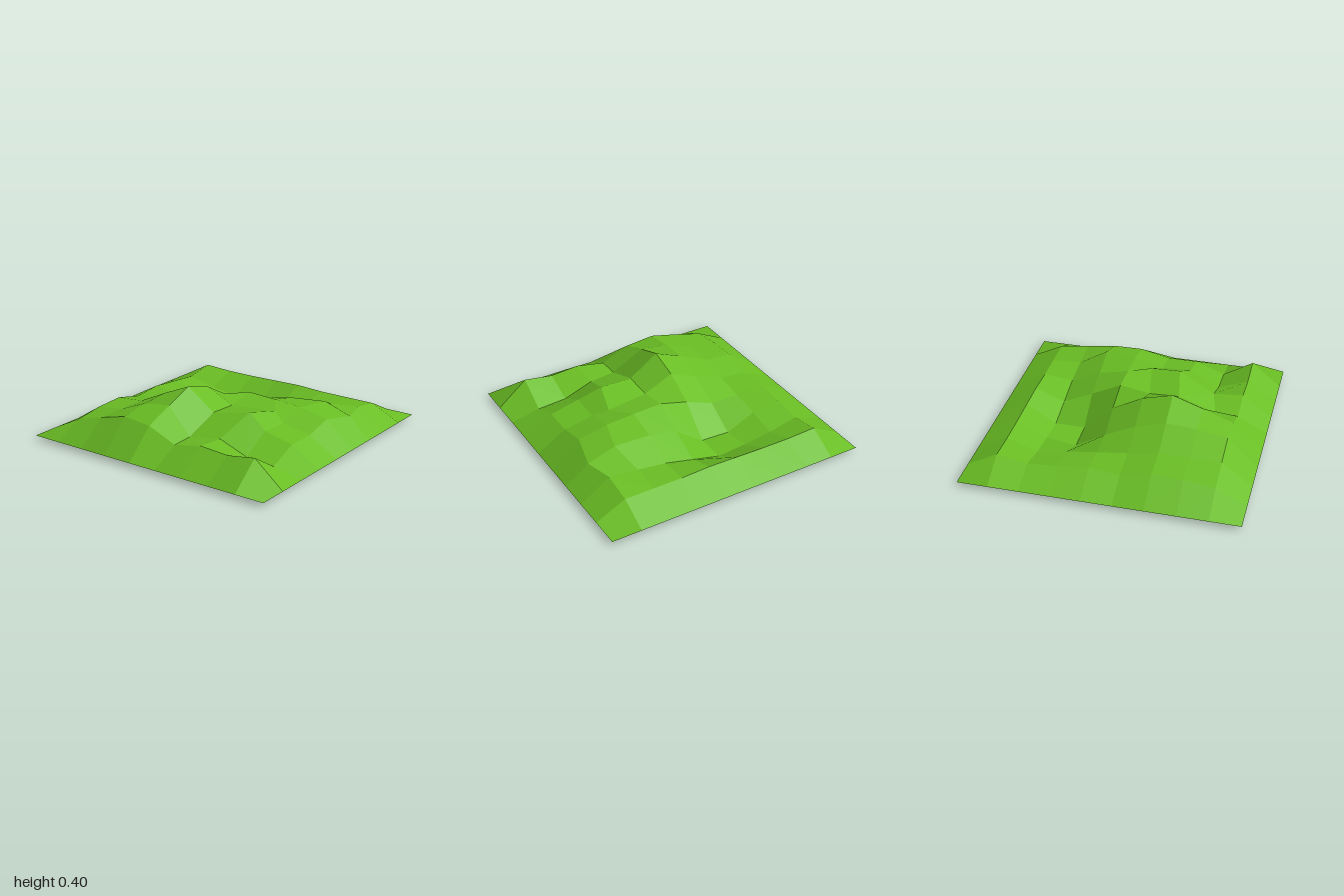
import * as THREE from 'three';

// Low-poly terrain patch: a 10 x 10 grid of points with a level rim.
const N = 9;
const RIM = 0.03;

// Heights of the inner points: rows run back to front, columns from -x to +x.
const HEIGHTS = [
  [0.15, 0.14, 0.14, 0.145, 0.15, 0.14, 0.14, 0.14],
  [0.11, 0.06, 0.03, 0.01, 0.065, 0.12, 0.15, 0.175],
  [0.13, 0.10, 0.00, 0.01, 0.17, 0.22, 0.245, 0.175],
  [0.15, 0.13, 0.13, 0.22, 0.28, 0.27, 0.255, 0.21],
  [0.13, 0.16, 0.24, 0.34, 0.24, 0.25, 0.20, 0.16],
  [0.18, 0.20, 0.305, 0.40, 0.25, 0.295, 0.21, 0.16],
  [0.17, 0.20, 0.29, 0.32, 0.15, 0.17, 0.09, 0.075],
  [0.14, 0.20, 0.255, 0.235, 0.145, 0.19, 0.175, 0.21],
];

// Points pulled sideways off the regular grid: 'row,column' -> [x, z].
const SHIFTED = {
  '3,7': [0.62, -0.35],
  '3,8': [0.83, -0.35],
  '5,6': [0.45, 0.05],
  '6,6': [0.39, 0.28],
  '7,5': [0.11, 0.61],
};

function gridPoint(row, col) {
  const inner = row > 0 && row < N && col > 0 && col < N;
  const y = inner ? HEIGHTS[row - 1][col - 1] : RIM;
  const [x, z] = SHIFTED[`${row},${col}`] ?? [-1 + (2 * col) / N, -1 + (2 * row) / N];
  return new THREE.Vector3(x, y, z);
}

// Each cell is two triangles sharing one normal, so it reads as a single facet.
function terrainGeometry() {
  const positions = [];
  const normals = [];
  for (let row = 0; row < N; row++) {
    for (let col = 0; col < N; col++) {
      const a = gridPoint(row, col);
      const b = gridPoint(row + 1, col);
      const c = gridPoint(row + 1, col + 1);
      const d = gridPoint(row, col + 1);
      const normal = c.clone().sub(a).cross(d.clone().sub(b)).normalize();
      for (const p of [a, b, c, a, c, d]) {
        positions.push(p.x, p.y, p.z);
        normals.push(normal.x, normal.y, normal.z);
      }
    }
  }
  const geometry = new THREE.BufferGeometry();
  geometry.setAttribute('position', new THREE.Float32BufferAttribute(positions, 3));
  geometry.setAttribute('normal', new THREE.Float32BufferAttribute(normals, 3));
  return geometry;
}

export function createModel() {
  const model = new THREE.Group();
  model.name = 'terrain';

  // Open grass surface, visible from above and below
  const grass = new THREE.MeshStandardMaterial({ color: 0x6abe24, side: THREE.DoubleSide });
  const ground = new THREE.Mesh(terrainGeometry(), grass);
  ground.name = 'grassHills';
  model.add(ground);

  return model;
}
